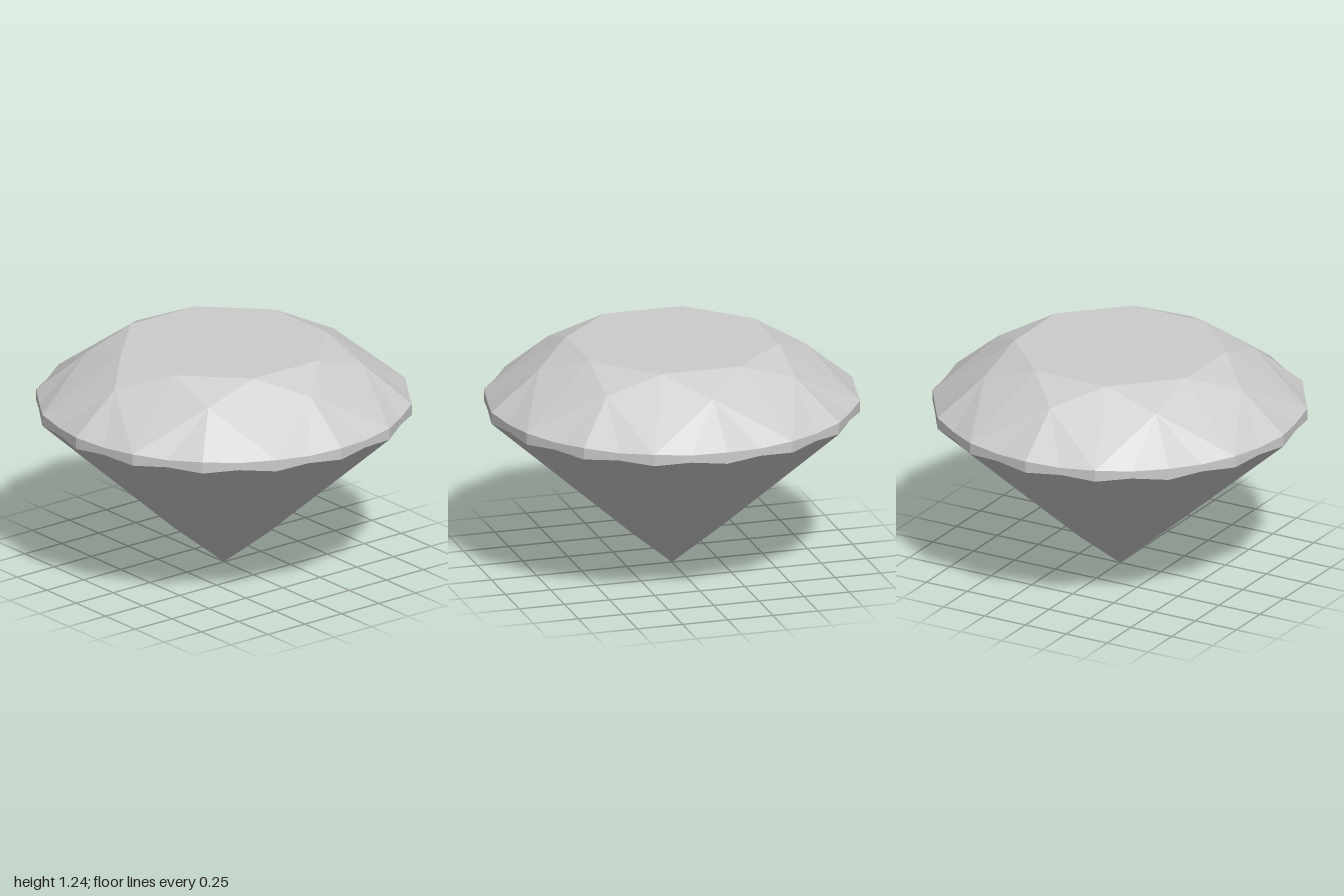
import * as THREE from 'three';

const STEP = Math.PI / 16; // 32 steps around the stone

const at = (k, r, y) => [r * Math.sin(k * STEP), y, r * Math.cos(k * STEP)];

// Key rings of points, indexed by step
const table = k => at(k, 0.565, 1.24);
const starTip = k => at(k, 0.74, 1.147);
const pavilionTip = k => at(k, 0.274, 0.22);
const culet = [0, 0, 0];
const midRadius = Math.cos(2 * Math.PI / 32);
// Girdle edges are scalloped: thick at the corners, thin between them
const girdleTop = k => k % 2 ? at(k, midRadius, 0.925) : at(k, 1, 0.935);
const girdleBottom = k => k % 2 ? at(k, midRadius, 0.885) : at(k, 1, 0.872);

export function createModel() {
  const group = new THREE.Group();
  group.name = 'cutGem';
  const material = new THREE.MeshStandardMaterial({ color: 0xcccccc, flatShading: true });

  // One mesh from a list of convex facets, each split as a fan
  function addFacets(name, facets) {
    const positions = [];
    for (const f of facets) {
      for (let i = 1; i < f.length - 1; i++) positions.push(...f[0], ...f[i], ...f[i + 1]);
    }
    const geometry = new THREE.BufferGeometry();
    geometry.setAttribute('position', new THREE.Float32BufferAttribute(positions, 3));
    geometry.computeVertexNormals();
    const mesh = new THREE.Mesh(geometry, material);
    mesh.name = name;
    group.add(mesh);
  }

  const eight = [...Array(8).keys()].map(i => i * 4);
  const sixteen = [...Array(16).keys()].map(i => i * 2);
  const thirtyTwo = [...Array(32).keys()];

  // Crown
  addFacets('table', [eight.map(k => table(k + 2))]);
  addFacets('starFacets', eight.map(k => [starTip(k), table(k + 2), table(k - 2)]));
  addFacets('bezelFacets', eight.map(k =>
    [table(k + 2), starTip(k), girdleTop(k + 2), starTip(k + 4)]));
  addFacets('upperGirdleFacets', sixteen.map(k =>
    [starTip(k % 4 ? k + 2 : k), girdleTop(k), girdleTop(k + 1), girdleTop(k + 2)]));

  // Girdle
  addFacets('girdle', thirtyTwo.map(k =>
    [girdleBottom(k), girdleBottom(k + 1), girdleTop(k + 1), girdleTop(k)]));

  // Pavilion
  addFacets('lowerGirdleFacets', sixteen.map(k =>
    [pavilionTip(k % 4 ? k : k + 2), girdleBottom(k + 2), girdleBottom(k + 1), girdleBottom(k)]));
  addFacets('pavilionMainFacets', eight.map(k =>
    [culet, pavilionTip(k + 2), girdleBottom(k), pavilionTip(k - 2)]));

  return group;
}
